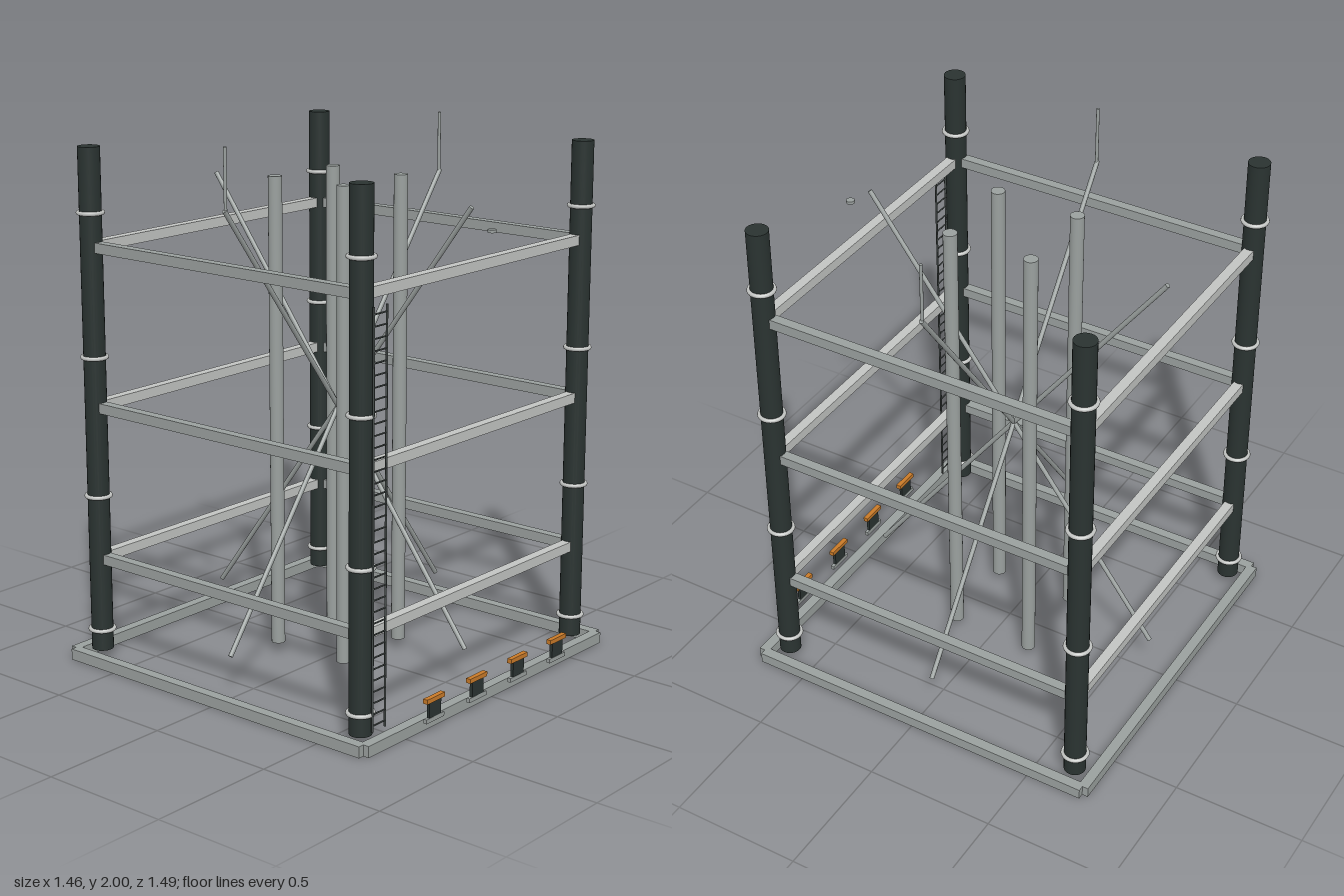
import * as THREE from 'three';

export function createModel() {
  const model = new THREE.Group();
  model.name = 'towerFrame';
  const mat = (name, color) => {
    const m = new THREE.MeshStandardMaterial({ color });
    m.name = name;
    return m;
  };
  const dark = mat('darkSteel', 0x2a3331);
  const steel = mat('greySteel', 0x9aa09e);
  const light = mat('lightSteel', 0xc2c4c2);
  const iron = mat('ladderIron', 0x454c4a);
  const orange = mat('orangePaint', 0xc87a28);

  const add = (parent, name, geo, material, x = 0, y = 0, z = 0) => {
    const mesh = new THREE.Mesh(geo, material);
    mesh.name = name;
    mesh.position.set(x, y, z);
    parent.add(mesh);
    return mesh;
  };
  const box = (parent, name, w, h, d, material, x, y, z) =>
    add(parent, name, new THREE.BoxGeometry(w, h, d), material, x, y, z);
  // Round bar between two points
  const rod = (parent, name, a, b, r, material, sides = 12) => {
    const from = new THREE.Vector3(...a), to = new THREE.Vector3(...b);
    const dir = to.clone().sub(from);
    const mesh = add(parent, name, new THREE.CylinderGeometry(r, r, dir.length(), sides), material);
    mesh.position.copy(from).add(to).multiplyScalar(0.5);
    mesh.quaternion.setFromUnitVectors(new THREE.Vector3(0, 1, 0), dir.normalize());
    return mesh;
  };

  // The square frame sits slightly behind the origin
  const frame = new THREE.Group();
  frame.name = 'frame';
  frame.position.z = -0.016;
  model.add(frame);

  const post = 0.633;
  for (const s of [-1, 1]) {
    // Base kerb, leaving small notches at the corners
    box(frame, 'baseBeamX', 1.41, 0.042, 0.04, steel, 0, 0.021, s * 0.708);
    box(frame, 'baseBeamZ', 0.04, 0.042, 1.41, steel, s * 0.708, 0.021, 0);

    // Horizontal beams on three levels
    for (const y of [0.401, 0.986, 1.584]) {
      box(frame, 'crossBeamX', 1.2, 0.038, 0.038, light, 0, y, s * post);
      box(frame, 'crossBeamZ', 0.038, 0.038, 1.2, steel, s * post, y, 0);
    }

    for (const t of [-1, 1]) {
      // Corner columns with collar rings
      add(frame, 'cornerColumn', new THREE.CylinderGeometry(0.041, 0.041, 1.908, 24), dark,
        s * post, 0.994, t * post);
      for (const y of [0.118, 0.643, 1.173, 1.708]) {
        const ring = add(frame, 'collarRing', new THREE.TorusGeometry(0.045, 0.008, 8, 24), light,
          s * post, y, t * post);
        ring.rotation.x = Math.PI / 2;
      }
      // Inner pipes
      add(frame, 'innerPipe', new THREE.CylinderGeometry(0.026, 0.026, 1.79, 20), steel,
        s * 0.162, 0.937, t * 0.162);
    }

    // Crossed diagonal braces in the two middle planes
    rod(frame, 'braceX', [-s * 0.604, 0.152, 0], [s * 0.604, 1.78, 0], 0.009, steel);
    rod(frame, 'braceZ', [0, 0.152, -s * 0.604], [0, 1.78, s * 0.604], 0.009, steel);

    // Upright mast at the top of each side brace
    rod(frame, 'mast', [s * 0.598, 1.765, 0], [s * 0.598, 2, 0], 0.006, steel);
  }

  // Ladder on the front right column
  const ladder = new THREE.Group();
  ladder.name = 'ladder';
  ladder.position.set(-0.597, 0, 0.668);
  model.add(ladder);
  for (const s of [-1, 1])
    rod(ladder, 'ladderRail', [s * 0.034, 0.058, 0], [s * 0.034, 1.545, 0], 0.004, iron, 8);
  const rungs = 36;
  for (let i = 0; i < rungs; i++) {
    const y = 0.08 + i * (1.44 / (rungs - 1));
    rod(ladder, 'ladderRung', [-0.034, y, 0], [0.034, y, 0], 0.003, iron, 6);
  }

  // Row of fenders along the front edge
  for (const x of [-0.372, -0.124, 0.124, 0.372]) {
    const fender = new THREE.Group();
    fender.name = 'fender';
    fender.position.set(x, 0, 0.734);
    model.add(fender);
    box(fender, 'fenderFoot', 0.1, 0.016, 0.014, steel, 0, 0.046, 0);
    box(fender, 'fenderBlock', 0.066, 0.06, 0.012, dark, 0, 0.083, 0);
    box(fender, 'fenderCap', 0.1, 0.017, 0.019, orange, 0, 0.12, 0);
  }

  // Small lamp disc in front of the upper level
  add(model, 'lampDisc', new THREE.CylinderGeometry(0.016, 0.016, 0.011, 16), steel, 0, 1.708, 0.676);

  return model;
}
